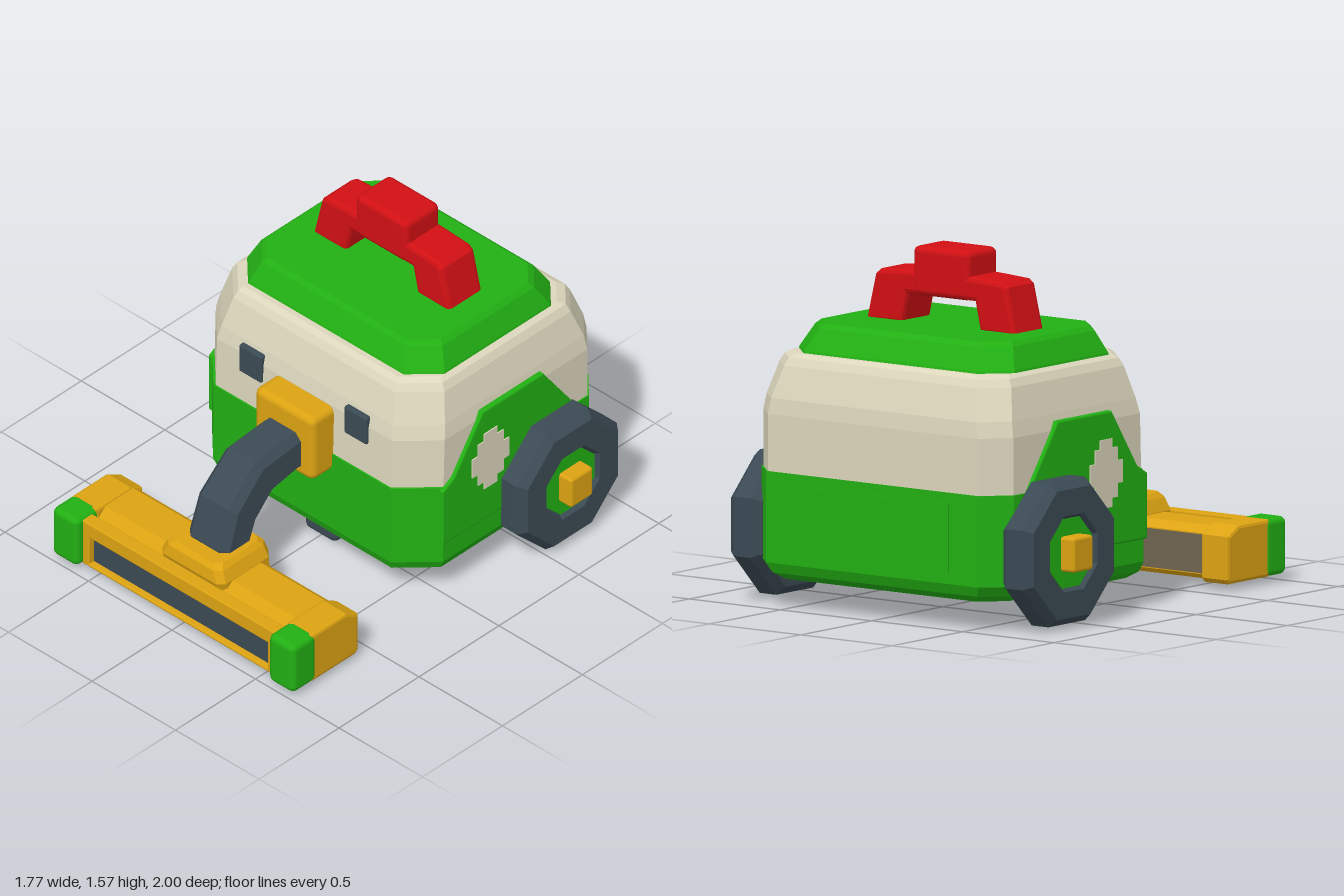
import * as THREE from 'three';
import { RoundedBoxGeometry } from 'three/addons/geometries/RoundedBoxGeometry.js';

const mat = (name, color) => Object.assign(new THREE.MeshStandardMaterial({ color }), { name });

// Faceted skin through equal-length rings, closed at both ends
function loft(rings) {
  const n = rings[0].length, pos = rings.flat(2), idx = [];
  for (let r = 0; r < rings.length - 1; r++) {
    for (let i = 0; i < n; i++) {
      const a = r * n + i, b = r * n + (i + 1) % n;
      idx.push(a, b, b + n, a, b + n, a + n);
    }
  }
  const top = (rings.length - 1) * n;
  for (let i = 1; i < n - 1; i++) idx.push(0, i + 1, i, top, top + i, top + i + 1);
  const g = new THREE.BufferGeometry();
  g.setAttribute('position', new THREE.Float32BufferAttribute(pos, 3));
  g.setIndex(idx);
  return faceted(g);
}

function faceted(g) {
  const f = g.index ? g.toNonIndexed() : g;
  f.computeVertexNormals();
  return f;
}

// Horizontal rectangle with cut corners: height, half width, front z, back z, front cut, back cut
const ring = (y, w, f, b, cf, cb) => [
  [-w + cf, y, f], [w - cf, y, f], [w, y, f - cf], [w, y, b + cb],
  [w - cb, y, b], [-w + cb, y, b], [-w, y, b + cb], [-w, y, f - cf],
];

const shapeOf = (pts) => new THREE.Shape(pts.map(([x, y]) => new THREE.Vector2(x, y)));

// Extrusion centred on its own depth, with bevels kept inside the outline
function slab(shape, depth, bevel) {
  const g = new THREE.ExtrudeGeometry(shape, {
    depth: depth - 2 * bevel, bevelEnabled: bevel > 0, bevelSize: bevel,
    bevelThickness: bevel, bevelOffset: -bevel, bevelSegments: 2,
  });
  return g.translate(0, 0, -depth / 2 + bevel);
}

// Extrusion along x of a [z, y] outline
const sideSlab = (pts, depth, bevel) =>
  slab(shapeOf(pts.map(([z, y]) => [-z, y])), depth, bevel).rotateY(Math.PI / 2);

export function createModel() {
  const model = new THREE.Group();
  model.name = 'vacuumRobot';
  const green = mat('green', 0x22b013), cream = mat('cream', 0xdcd6bc), red = mat('red', 0xd21014);
  const yellow = mat('yellow', 0xdca312), dark = mat('slate', 0x3b4a54), brown = mat('brown', 0x6e6450);

  const add = (name, geometry, material, x = 0, y = 0, z = 0, parent = model) => {
    const m = new THREE.Mesh(geometry, material);
    m.name = name;
    m.position.set(x, y, z);
    parent.add(m);
    return m;
  };
  // Rounded box given by its min and max corners
  const box = (name, material, x0, x1, y0, y1, z0, z1, r = 0.025, parent = model) =>
    add(name, new RoundedBoxGeometry(x1 - x0, y1 - y0, z1 - z0, 2, r), material,
      (x0 + x1) / 2, (y0 + y1) / 2, (z0 + z1) / 2, parent);
  const plate = (name, material, w, h, d, x, y, z) =>
    add(name, new THREE.BoxGeometry(w, h, d), material, x, y, z);

  // Body shells
  add('lowerBody', loft([
    ring(0.125, 0.62, 0.13, -0.93, 0.14, 0.1),
    ring(0.155, 0.67, 0.17, -0.975, 0.15, 0.11),
    ring(0.2, 0.692, 0.187, -0.995, 0.16, 0.11),
    ring(0.6, 0.692, 0.185, -0.995, 0.16, 0.11),
  ]), green);
  add('upperBody', loft([
    ring(0.59, 0.685, 0.178, -0.992, 0.16, 0.11),
    ring(0.85, 0.685, 0.17, -0.992, 0.16, 0.11),
    ring(0.92, 0.672, 0.155, -0.985, 0.16, 0.11),
    ring(1.06, 0.635, 0.11, -0.94, 0.15, 0.11),
    ring(1.095, 0.615, 0.09, -0.92, 0.14, 0.1),
    ring(1.11, 0.59, 0.065, -0.89, 0.13, 0.1),
  ]), cream);
  add('lid', loft([
    ring(1.09, 0.595, 0.045, -0.875, 0.125, 0.115),
    ring(1.12, 0.588, 0.035, -0.865, 0.125, 0.115),
    ring(1.215, 0.542, -0.015, -0.81, 0.11, 0.11),
    ring(1.235, 0.52, -0.035, -0.785, 0.1, 0.1),
  ]), green);
  plate('rearPanel', green, 0.84, 0.3, 0.009, 0, 0.4, -0.9955);

  // Carry handle
  add('handleArch', slab(shapeOf([
    [-0.41, 1.22], [-0.215, 1.22], [-0.185, 1.355], [0.185, 1.355], [0.215, 1.22], [0.41, 1.22],
    [0.36, 1.43], [0.335, 1.45], [0.17, 1.46], [-0.17, 1.46], [-0.335, 1.45], [-0.36, 1.43],
  ]), 0.21, 0.02), red, 0, 0, -0.412);
  box('handleGrip', red, -0.155, 0.155, 1.352, 1.57, -0.52, -0.302, 0.03);

  // Side panels, badges, wheels and eyes
  const quarter = [[0.115, 0.05], [0.08, 0.05], [0.08, 0.11], [0.042, 0.11], [0.042, 0.15]];
  const half = [...quarter, ...quarter.map(([x, y]) => [-x, y]).reverse()];
  const badge = [...half, ...half.map(([x, y]) => [-x, -y])];
  const tyre = [[0, -0.085], [0.3, -0.085], [0.34, -0.045], [0.34, 0.045], [0.305, 0.085],
    [0.18, 0.085], [0.162, 0.06], [0, 0.06]].map(([r, h]) => new THREE.Vector2(r, h));
  for (const s of [1, -1]) {
    add('sidePanel', sideSlab([
      [0.04, 0.3], [0.04, 0.59], [-0.03, 0.63], [-0.21, 0.89], [-0.59, 0.89], [-0.8, 0.6], [-0.8, 0.3],
    ].reverse(), 0.06, 0.008), green, s * 0.673, 0, 0);
    add('sideBadge', sideSlab(badge, 0.009, 0), cream, s * 0.704, 0.62, -0.255);

    const wheel = new THREE.Group();
    wheel.name = 'wheel';
    wheel.position.set(s * 0.745, 0.333, -0.642);
    wheel.rotation.y = s > 0 ? 0 : Math.PI;
    add('tyre', faceted(new THREE.LatheGeometry(tyre, 8, Math.PI / 8).rotateZ(-Math.PI / 2)),
      dark, 0, 0, 0, wheel);
    add('hubDisc', faceted(new THREE.CylinderGeometry(0.163, 0.163, 0.02, 8, 1, false, Math.PI / 8)
      .rotateZ(-Math.PI / 2)), green, 0.058, 0, 0, wheel);
    box('hubCap', yellow, 0.03, 0.14, -0.077, 0.077, -0.07, 0.07, 0.015, wheel);
    model.add(wheel);

    box('eye', dark, s * 0.315 - 0.068, s * 0.315 + 0.068, 0.757, 0.902, 0.1, 0.185, 0.01);
  }
  box('caster', dark, -0.095, 0.095, 0, 0.16, -0.11, 0.08, 0.03);

  // Hose socket and bent hose; each hose section is lower z, y, upper z, y, half width
  box('hoseSocket', yellow, -0.177, 0.177, 0.508, 0.847, 0.14, 0.307, 0.035);
  const cut = [[1, -0.65], [1, 0.65], [0.7, 1], [-0.7, 1], [-1, 0.65], [-1, -0.65], [-0.7, -1], [0.7, -1]];
  add('hose', loft([
    [0.28, 0.53, 0.28, 0.735, 0.108], [0.33, 0.535, 0.31, 0.735, 0.108],
    [0.475, 0.505, 0.56, 0.715, 0.11], [0.57, 0.42, 0.735, 0.55, 0.115],
    [0.615, 0.335, 0.795, 0.36, 0.12], [0.62, 0.29, 0.79, 0.3, 0.12],
  ].map(([lz, ly, uz, uy, w]) => cut.map(([a, b]) =>
    [a * w, (ly + uy) / 2 + b * (uy - ly) / 2, (lz + uz) / 2 + b * (uz - lz) / 2]))), dark);

  // Floor nozzle
  add('nozzleNeck', loft([
    ring(0.055, 0.15, 0.8, 0.56, 0.03, 0.03),
    ring(0.09, 0.185, 0.82, 0.535, 0.03, 0.04),
    ring(0.275, 0.19, 0.892, 0.555, 0.03, 0.04),
    ring(0.33, 0.165, 0.882, 0.57, 0.03, 0.03),
    ring(0.352, 0.145, 0.862, 0.59, 0.03, 0.03),
  ]), yellow);
  add('nozzleBar', sideSlab([
    [0.605, 0.06], [0.625, 0.04], [0.915, 0.04], [0.915, 0.222], [0.86, 0.235],
    [0.82, 0.272], [0.645, 0.272], [0.605, 0.24],
  ].reverse(), 1.16, 0), yellow);
  const frame = shapeOf([[-0.575, 0.037], [0.575, 0.037], [0.575, 0.27], [-0.575, 0.27]]);
  frame.holes.push(new THREE.Path([[-0.535, 0.052], [-0.535, 0.195], [0.535, 0.195], [0.535, 0.052]]
    .map(([x, y]) => new THREE.Vector2(x, y))));
  add('nozzleFrame', slab(frame, 0.065, 0.006), yellow, 0, 0, 0.928);
  plate('nozzleSlot', dark, 1.08, 0.15, 0.008, 0, 0.123, 0.925);
  plate('nozzleBack', brown, 1.14, 0.17, 0.006, 0, 0.15, 0.604);
  plate('nozzleUnderside', dark, 1.07, 0.006, 0.14, 0, 0.039, 0.82);
  for (const s of [1, -1]) {
    add('nozzleEnd', sideSlab([
      [0.583, 0.05], [0.6, 0.03], [0.88, 0.03], [0.88, 0.283], [0.66, 0.283], [0.583, 0.24],
    ].reverse(), 0.15, 0.015), yellow, s * 0.645, 0, 0);
    box('nozzleBumper', green, s * 0.648 - 0.077, s * 0.648 + 0.077, 0.03, 0.285, 0.848, 1, 0.03);
  }
  return model;
}
